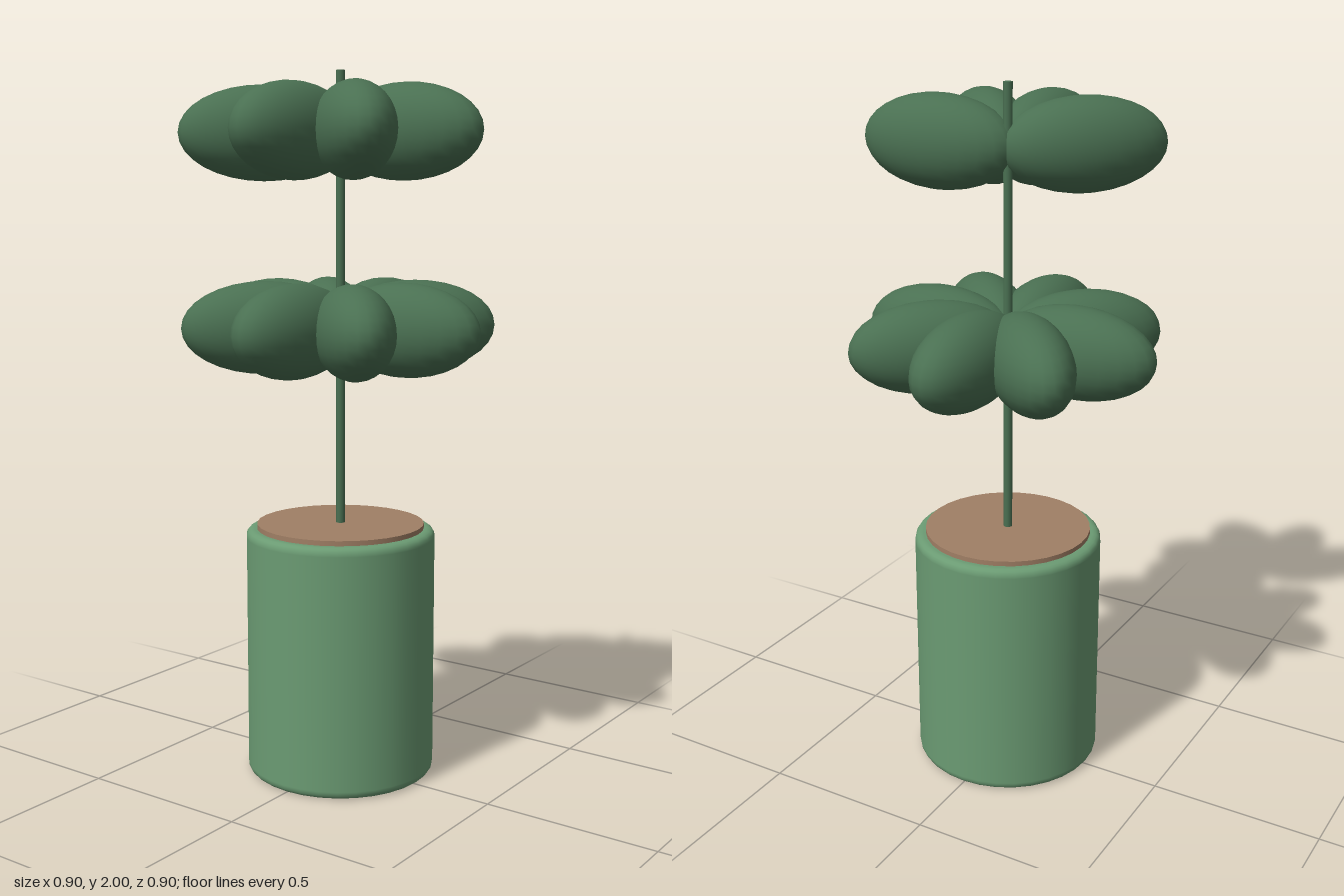
import * as THREE from 'three';

const potGreen = new THREE.MeshStandardMaterial({ name: 'potGreen', color: 0x6b9b73 });
const leafGreen = new THREE.MeshStandardMaterial({ name: 'leafGreen', color: 0x4a7052 });
const soilBrown = new THREE.MeshStandardMaterial({ name: 'soilBrown', color: 0xa07f65 });

function addMesh(parent, name, geometry, material, y = 0) {
  const mesh = new THREE.Mesh(geometry, material);
  mesh.name = name;
  mesh.position.y = y;
  parent.add(mesh);
  return mesh;
}

// Solid pot with rounded top and bottom edges
function potGeometry(radius, height, bevel) {
  const points = [new THREE.Vector2(0, 0), new THREE.Vector2(radius - bevel - 0.004, 0)];
  const corner = (cy, start) => {
    for (let i = 0; i <= 4; i++) {
      const a = start + (i / 4) * Math.PI / 2;
      points.push(new THREE.Vector2(radius - bevel + bevel * Math.cos(a), cy + bevel * Math.sin(a)));
    }
  };
  corner(bevel, -Math.PI / 2);
  points.push(new THREE.Vector2(radius, bevel + 0.004), new THREE.Vector2(radius, height - bevel - 0.004));
  corner(height - bevel, 0);
  points.push(new THREE.Vector2(radius - bevel - 0.004, height), new THREE.Vector2(0, height));
  return new THREE.LatheGeometry(points, 32);
}

// Ring of plump horizontal leaves, 45 degrees apart, starting at +x and turning towards +z
function addWhorl(parent, name, y, count) {
  const whorl = new THREE.Group();
  whorl.name = name;
  whorl.position.y = y;
  const leaf = new THREE.SphereGeometry(1, 24, 16);
  leaf.scale(0.235, 0.13, 0.11);
  leaf.translate(0.213, 0, 0);
  for (let i = 0; i < count; i++) {
    addMesh(whorl, 'leaf', leaf, leafGreen).rotation.y = -i * Math.PI / 4;
  }
  parent.add(whorl);
}

export function createModel() {
  const plant = new THREE.Group();
  plant.name = 'pottedPlant';

  addMesh(plant, 'pot', potGeometry(0.271, 0.717, 0.02), potGreen);
  addMesh(plant, 'soil', new THREE.CylinderGeometry(0.24, 0.24, 0.03, 32), soilBrown, 0.716);
  addMesh(plant, 'stem', new THREE.CylinderGeometry(0.0125, 0.0125, 1.29, 12), leafGreen, 1.355);

  // Full lower ring, half-open upper ring
  addWhorl(plant, 'lowerLeaves', 1.295, 8);
  addWhorl(plant, 'upperLeaves', 1.828, 4);
  return plant;
}
